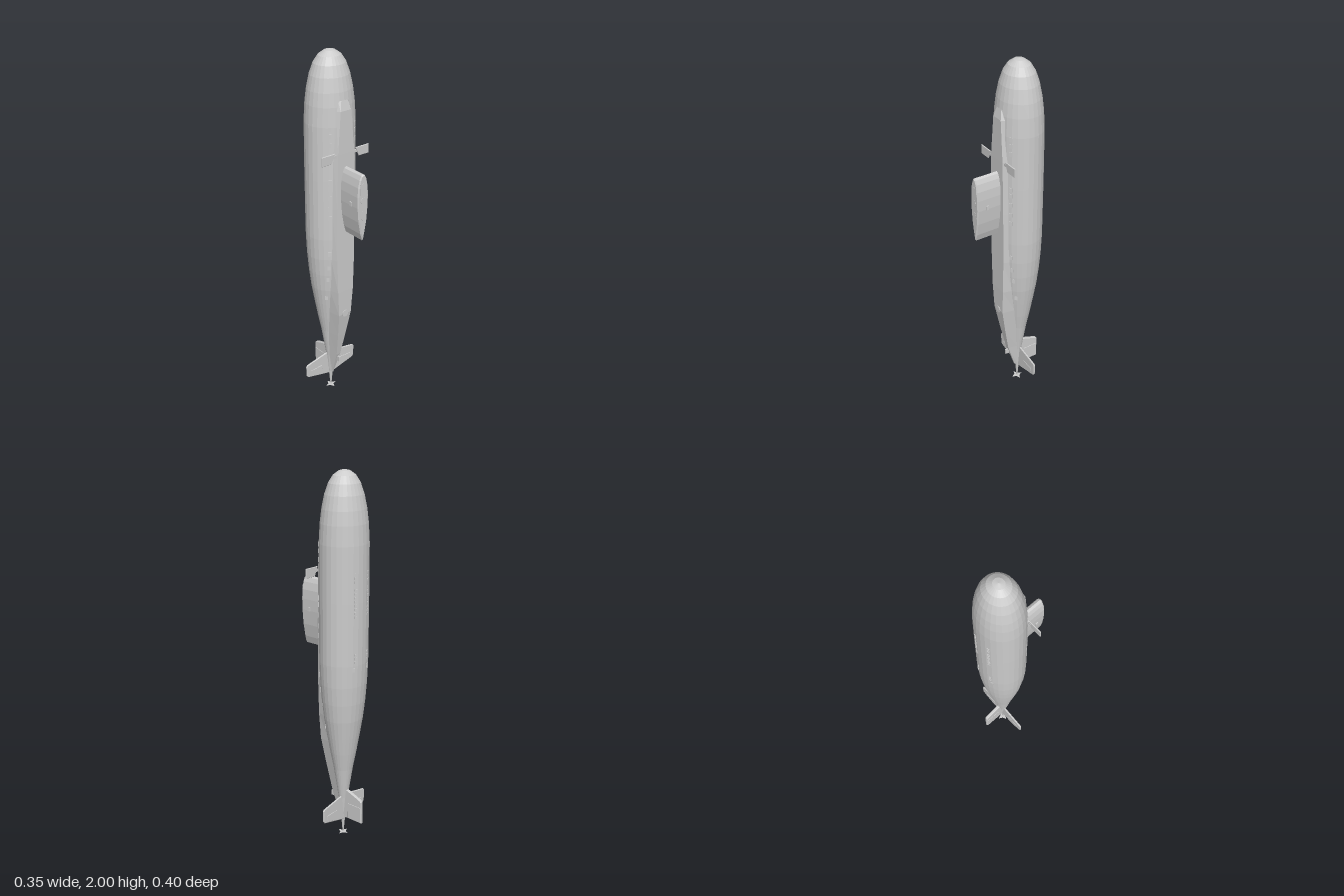
import * as THREE from 'three';

const AXIS = -0.065; // z of the hull axis
const SQUASH = 0.91; // hull depth relative to its width
const HULL = [[0.003, 0], [0.012, 0.1], [0.026, 0.22], [0.055, 0.4], [0.075, 0.5], [0.093, 0.6], [0.11, 0.7],
  [0.122, 0.8], [0.13, 0.9], [0.135, 1.02], [0.136, 1.35], [0.135, 1.64], [0.129, 1.74], [0.12, 1.81],
  [0.105, 1.88], [0.085, 1.935], [0.06, 1.972], [0.03, 1.993], [0, 2]];

const flat = new THREE.MeshStandardMaterial({ color: 0xcccccc, flatShading: true });
const thin = new THREE.MeshStandardMaterial({ color: 0xcccccc, flatShading: true, side: THREE.DoubleSide });

function hullRadius(y) {
  for (let i = 1; i < HULL.length; i++) {
    const [r0, y0] = HULL[i - 1], [r1, y1] = HULL[i];
    if (y <= y1) return r0 + (r1 - r0) * (y - y0) / (y1 - y0);
  }
  return 0;
}
const hullDepth = (x, y) => SQUASH * Math.sqrt(Math.max(0, hullRadius(y) ** 2 - x * x));

export function createModel() {
  const root = new THREE.Group();
  const add = (name, geometry, material = flat, parent = root) => {
    const mesh = new THREE.Mesh(geometry, material);
    mesh.name = name;
    parent.add(mesh);
    return mesh;
  };
  const group = (name) => {
    const g = new THREE.Group();
    g.name = name;
    root.add(g);
    return g;
  };
  // Flat plate, centred on its own plane, with bevelled edges
  const plate = (points, thickness, bevel = 0.002) => {
    const shape = new THREE.Shape(points.map(([x, y]) => new THREE.Vector2(x, y)));
    return new THREE.ExtrudeGeometry(shape, {
      depth: thickness - 2 * bevel, bevelThickness: bevel, bevelSize: bevel, bevelOffset: -bevel, bevelSegments: 1,
    }).translate(0, 0, bevel - thickness / 2);
  };

  // Hull
  add('hull', new THREE.LatheGeometry(HULL.map(([r, y]) => new THREE.Vector2(r, y)), 28)
    .scale(1, 1, SQUASH).translate(0, 0, AXIS));

  // Raised deck casing: [y, half width, front z]
  const stations = [[1.77, 0.02, 0.05], [1.72, 0.033, 0.062], [1.5, 0.052, 0.065], [1.2, 0.057, 0.065],
    [0.9, 0.057, 0.065], [0.7, 0.051, 0.065], [0.55, 0.041, 0.061], [0.4, 0.027, 0.034], [0.25, 0.013, 0.004],
    [0.1, 0.003, -0.045]];
  const pos = [], idx = [];
  stations.forEach(([y, w, z], i) => {
    const base = Math.min(w + 0.014, 0.8 * hullRadius(y));
    const zb = Math.min(z, AXIS + hullDepth(base, y) - 0.003);
    pos.push(-base, y, zb, -w, y, z, w, y, z, base, y, zb);
    if (i === 0) return;
    for (let j = 0; j < 3; j++) {
      const d = i * 4 + j, a = d - 4;
      idx.push(a, d, d + 1, a, d + 1, a + 1);
    }
  });
  const casing = new THREE.BufferGeometry();
  casing.setAttribute('position', new THREE.Float32BufferAttribute(pos, 3));
  casing.setIndex(idx);
  casing.computeVertexNormals();
  add('deckCasing', casing, thin);

  // Sail with teardrop plan
  const half = [[0.012, 1.422], [0.022, 1.4], [0.031, 1.36], [0.034, 1.31], [0.033, 1.25], [0.026, 1.17], [0.013, 1.1]];
  const sailPlan = [[0, 1.43], ...half.map(([x, y]) => [-x, y]), [0, 1.06], ...half.slice().reverse()];
  add('sail', plate(sailPlan, 0.15, 0.006).translate(0, 0, 0.125));

  // Cockpit, hatches and side lamps of the sail
  add('cockpit', new THREE.BoxGeometry(0.044, 0.06, 0.002).translate(0, 1.35, 0.2));
  for (const [y, r, stretch] of [[1.285, 0.018, 1], [1.205, 0.016, 1.9]]) {
    add('sailHatch', new THREE.CylinderGeometry(r, r, 0.002, 16).rotateX(Math.PI / 2)
      .scale(1, stretch, 1).translate(0, y, 0.2));
  }
  for (const s of [-1, 1]) {
    add('sailLamp', new THREE.BoxGeometry(0.01, 0.022, 0.016).translate(s * 0.034, 1.26, 0.145));
  }

  // Deck hatch and tail fitting
  add('deckHatch', new THREE.CylinderGeometry(0.02, 0.02, 0.008, 16).rotateX(Math.PI / 2).translate(0, 0.555, 0.061));
  add('tailFitting', new THREE.BoxGeometry(0.008, 0.03, 0.03).translate(0, 0.22, 0.001));

  // Planes on each side
  for (const s of [-1, 1]) {
    const side = (pts) => pts.map(([x, y]) => [s * x, y]);
    add('bowPlane', plate(side([[0.066, 1.51], [0.152, 1.51], [0.152, 1.46], [0.088, 1.46]]), 0.007)
      .translate(0, 0, 0.057));
    add('bowPlaneShaft', new THREE.BoxGeometry(0.045, 0.014, 0.006).translate(s * 0.065, 1.49, 0.055));
    add('sternPlane', plate(side([[0, 0.235], [0.035, 0.232], [0.165, 0.206], [0.173, 0.196], [0.171, 0.135],
      [0.162, 0.122], [0.03, 0.09], [0, 0.085]]), 0.01, 0.003).translate(0, 0, -0.07));
    add('elevator', plate(side([[0.065, 0.165], [0.145, 0.16], [0.14, 0.121], [0.06, 0.103]]), 0.013)
      .translate(0, 0, -0.07));
  }

  // Rudder below the keel
  const turn = (g) => g.rotateY(-Math.PI / 2);
  add('rudder', turn(plate([[-0.065, 0.28], [-0.11, 0.268], [-0.19, 0.238], [-0.198, 0.228], [-0.198, 0.1],
    [-0.09, 0.1], [-0.065, 0.12]], 0.018, 0.004)));
  add('rudderFlap', turn(plate([[-0.105, 0.195], [-0.195, 0.195], [-0.195, 0.103], [-0.105, 0.103]], 0.021)));

  // Four-bladed propeller
  const star = new THREE.Shape();
  for (let i = 0; i < 8; i++) {
    const a = i * Math.PI / 4, r = i % 2 ? 0.015 : 0.034;
    star[i ? 'lineTo' : 'moveTo'](r * Math.cos(a), r * Math.sin(a));
  }
  add('propeller', new THREE.ShapeGeometry(star).rotateX(-Math.PI / 2).translate(0, 0.002, AXIS), thin);

  // Flood openings set along the hull surface; dir is +1 for the deck side, -1 for the keel side
  const opening = (parent, x, y, w, h, dir) => {
    const d = hullDepth(x, y);
    const m = add('floodOpening', new THREE.BoxGeometry(w, h, 0.005), flat, parent);
    m.position.set(x, y, AXIS + dir * d);
    m.rotation.y = Math.atan2(x * SQUASH * SQUASH, dir * d);
  };
  const deckSide = group('deckOpenings'), keelSide = group('keelOpenings');
  const rows = [1.63, 1.595, 1.55, 1.35, 1.315, 1.26, 1.2, 1.15, 0.935, 0.85, 0.775, 0.65];
  for (const s of [-1, 1]) {
    for (const y of rows) opening(deckSide, s * Math.min(0.08, hullRadius(y) * 0.75), y, 0.017, 0.023, 1);
    for (const y of [1.5, 1.48, 1.46, 1.08, 1.06, 1.04]) opening(keelSide, s * 0.046, y, 0.014, 0.011, -1);
    for (let i = 0; i < 8; i++) opening(keelSide, s * 0.046, 1.42 - i * 0.02, 0.014, 0.011, -1);
    opening(keelSide, s * 0.055, 1.0, 0.018, 0.022, -1);
  }
  return root;
}
